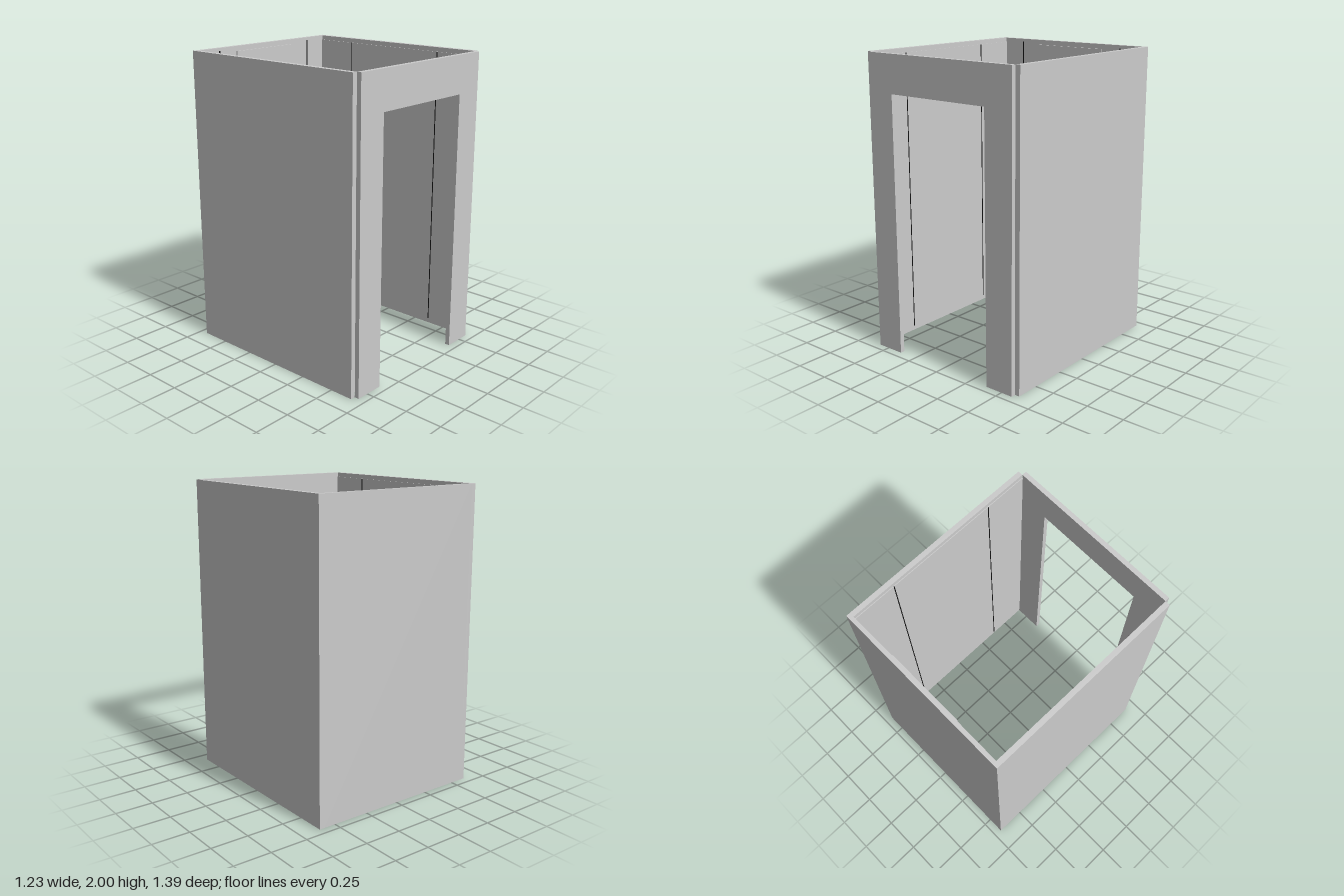
import * as THREE from 'three';

const grey = new THREE.MeshStandardMaterial({ color: 0xcccccc });
const pale = new THREE.MeshStandardMaterial({ color: 0xe7e7ea });
const dark = new THREE.MeshStandardMaterial({ color: 0x151515 });

// Box given by its min and max corners
function box(name, [x0, y0, z0], [x1, y1, z1], material = grey) {
  const mesh = new THREE.Mesh(new THREE.BoxGeometry(x1 - x0, y1 - y0, z1 - z0), material);
  mesh.position.set((x0 + x1) / 2, (y0 + y1) / 2, (z0 + z1) / 2);
  mesh.name = name;
  return mesh;
}

// Upright arch: a rectangle with a doorway open at the floor
function arch(name, halfWidth, height, halfDoor, doorHeight, z0, z1) {
  const s = new THREE.Shape();
  s.moveTo(-halfWidth, 0);
  s.lineTo(-halfDoor, 0);
  s.lineTo(-halfDoor, doorHeight);
  s.lineTo(halfDoor, doorHeight);
  s.lineTo(halfDoor, 0);
  s.lineTo(halfWidth, 0);
  s.lineTo(halfWidth, height);
  s.lineTo(-halfWidth, height);
  s.closePath();
  const mesh = new THREE.Mesh(new THREE.ExtrudeGeometry(s, { depth: z1 - z0, bevelEnabled: false }), grey);
  mesh.position.z = z0;
  mesh.name = name;
  return mesh;
}

export function createModel() {
  const cabin = new THREE.Group();
  cabin.name = 'cabin';

  // Outer shell
  cabin.add(arch('frontWall', 0.582, 2, 0.38, 1.75, 0.666, 0.697));
  cabin.add(box('backWall', [-0.582, 0, -0.697], [0.582, 2, -0.67]));

  for (const side of [-1, 1]) {
    const label = side > 0 ? 'left' : 'right';
    const span = (a, b) => [Math.min(side * a, side * b), Math.max(side * a, side * b)];

    const [w0, w1] = span(0.582, 0.615);
    cabin.add(box(label + 'Wall', [w0, 0, -0.697], [w1, 2, 0.665]));

    // Inner lining, short of the floor and the top rim
    const [l0, l1] = span(0.577, 0.582);
    cabin.add(box(label + 'Lining', [l0, 0.035, -0.67], [l1, 1.97, 0.665]));

    // Dark panel joints on the side and back walls
    const [j0, j1] = span(0.575, 0.579);
    for (const z of [-0.375, 0.375]) {
      cabin.add(box(label + 'PanelJoint', [j0, 0.035, z - 0.003], [j1, 1.97, z + 0.003], dark));
    }
    const x = side * 0.415;
    cabin.add(box('backPanelJoint', [x - 0.003, 0.01, -0.671], [x + 0.003, 1.98, -0.666], dark));
  }

  // Pale back panel with the door surround in front of it
  cabin.add(box('backPanel', [-0.267, 0.002, -0.671], [0.267, 1.966, -0.66], pale));
  cabin.add(arch('doorSurround', 0.332, 1.805, 0.267, 1.67, -0.67, -0.638));
  cabin.add(box('doorHeader', [-0.267, 1.635, -0.665], [0.267, 1.67, -0.648]));

  return cabin;
}
